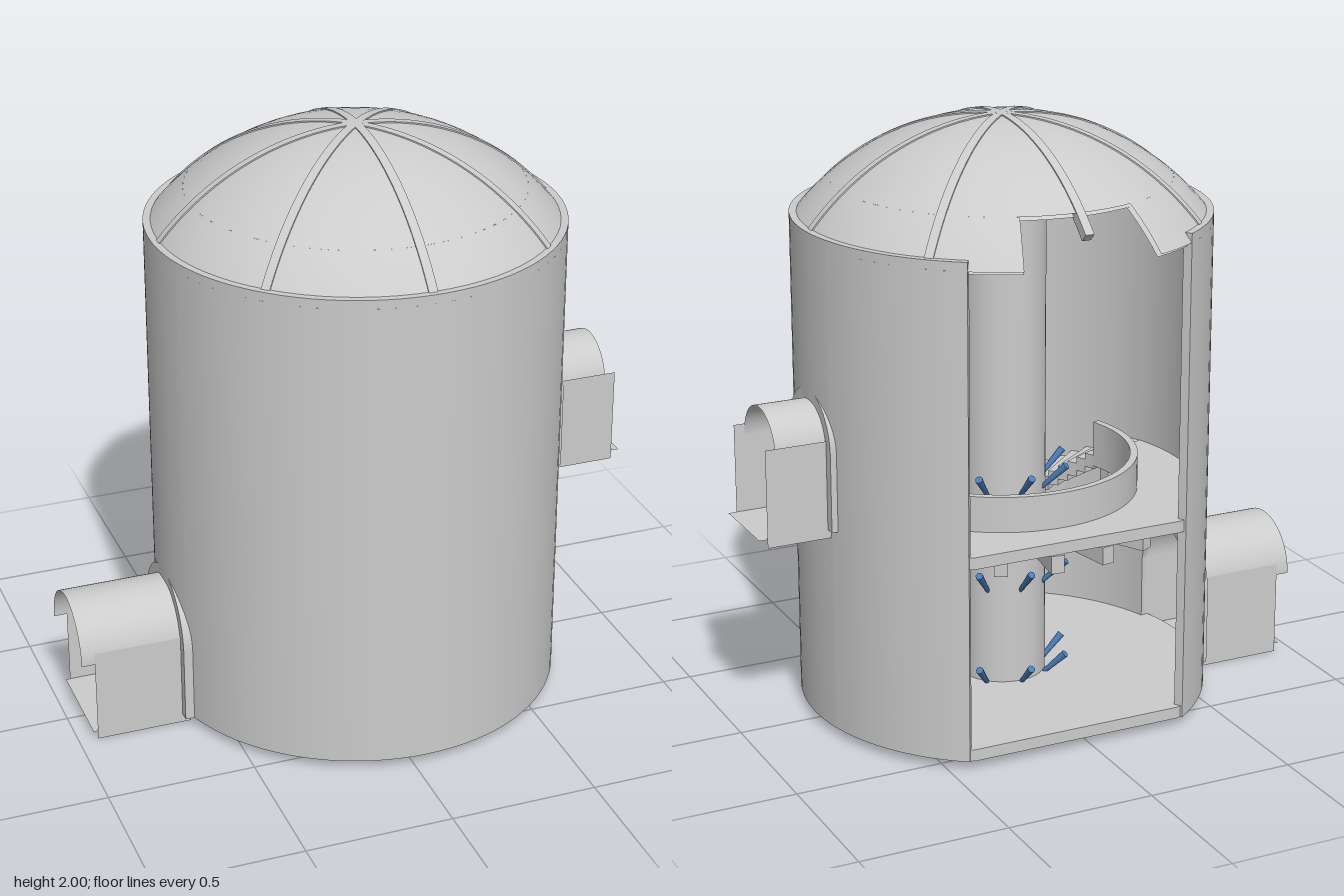
import * as THREE from 'three';
import { toCreasedNormals } from 'three/addons/utils/BufferGeometryUtils.js';

const RAD = Math.PI / 180;
const R = 0.69, RIN = 0.66, BACK = 0.57;   // wall radii, distance to the flat cut at the back
const DOME_R = 0.87, DOME_Y = 1.13;        // dome sphere radius and centre height
const grey = new THREE.MeshStandardMaterial({ color: 0xcccccc });
const sheet = new THREE.MeshStandardMaterial({ color: 0xcccccc, side: THREE.DoubleSide });
const blue = new THREE.MeshStandardMaterial({ color: 0x4a7db8 });

function add(parent, name, geometry, material = grey) {
  const mesh = new THREE.Mesh(geometry, material);
  mesh.name = name;
  parent.add(mesh);
  return mesh;
}

// Solid curved slab between two angles (degrees, 0 = +x, 90 = front).
// Radii and heights are numbers or functions of the angle in radians.
function arcSlab(r0, r1, y0, y1, a0, a1, step = 4) {
  const at = (v, a) => (typeof v === 'function' ? v(a) : v);
  const n = Math.max(1, Math.ceil((a1 - a0) / step));
  const pos = [], idx = [];
  for (let i = 0; i <= n; i++) {
    const a = (a0 + (a1 - a0) * i / n) * RAD;
    const p = [[r0, y0], [r1, y0], [r1, y1], [r0, y1]];
    for (const [r, y] of p) pos.push(at(r, a) * Math.cos(a), at(y, a), at(r, a) * Math.sin(a));
    if (i === n) break;
    for (let k = 0; k < 4; k++) {
      const A = i * 4 + k, B = i * 4 + (k + 1) % 4;
      idx.push(A, B, B + 4, A, B + 4, A + 4);
    }
  }
  const e = n * 4;
  idx.push(0, 2, 1, 0, 3, 2, e, e + 1, e + 2, e, e + 2, e + 3);
  const g = new THREE.BufferGeometry();
  g.setAttribute('position', new THREE.Float32BufferAttribute(pos, 3));
  g.setIndex(idx);
  return toCreasedNormals(g, 30 * RAD);
}

// Radius limited by the flat cut at the back
const clipped = r => a => (Math.sin(a) < 0 ? Math.min(r, BACK / -Math.sin(a)) : r);

// Thin spherical band between two radii, revolved over phi
function domeBand(sphereR, rFrom, rTo, phi0, phiLen) {
  const pts = [];
  for (let i = 0; i <= 12; i++) {
    const t = Math.asin(rTo / DOME_R) * (1 - i / 12) + Math.asin(rFrom / DOME_R) * (i / 12);
    pts.push(new THREE.Vector2(sphereR * Math.sin(t), DOME_Y + sphereR * Math.cos(t)));
  }
  return new THREE.LatheGeometry(pts, 64, phi0 * RAD, phiLen * RAD);
}

// Curved rib lying in the x-y plane
function ribGeometry(endRadius) {
  const end = Math.PI / 2 - Math.asin(endRadius / DOME_R), s = new THREE.Shape();
  s.absarc(0, 0, 0.874, end, Math.PI / 2, false);
  s.absarc(0, 0, 0.84, Math.PI / 2, end, true);
  const g = new THREE.ExtrudeGeometry(s, { depth: 0.03, bevelEnabled: false, curveSegments: 20 });
  return g.translate(0, DOME_Y, -0.015);
}

// Arched frame around a doorway, facing +x
function frameGeometry(r, floor, spring) {
  const s = new THREE.Shape(), o = r + 0.035;
  s.moveTo(o, floor);
  s.lineTo(o, spring);
  s.absarc(0, spring, o, 0, Math.PI, false);
  s.lineTo(-o, floor);
  s.lineTo(-r, floor);
  s.lineTo(-r, spring);
  s.absarc(0, spring, r, Math.PI, 0, true);
  s.lineTo(r, floor);
  const g = new THREE.ExtrudeGeometry(s, { depth: 0.05, bevelEnabled: false, curveSegments: 20 });
  return g.rotateY(Math.PI / 2).translate(0.638, 0, 0);
}

// Vaulted entrance passage running out along +x
function passage(name, d) {
  const g = new THREE.Group(), x0 = 0.66;
  g.name = name;
  const roof = new THREE.CylinderGeometry(d.r, d.r, d.roof - x0, 32, 1, true, 0, Math.PI);
  roof.rotateZ(Math.PI / 2).translate((d.roof + x0) / 2, d.spring, 0);
  add(g, 'vaultedRoof', roof, sheet);
  const h = d.spring + 0.04 - (d.floor - 0.03);
  for (const s of [-1, 1]) {
    const side = new THREE.PlaneGeometry(d.side - x0, h);
    add(g, 'sideWall', side.translate((d.side + x0) / 2, d.floor - 0.03 + h / 2, s * d.r), sheet);
  }
  const floor = new THREE.PlaneGeometry(d.end - x0, 2 * d.r).rotateX(-Math.PI / 2);
  add(g, 'passageFloor', floor.translate((d.end + x0) / 2, d.floor, 0), sheet);
  add(g, 'doorFrame', frameGeometry(d.r, d.floor, d.spring));
  return g;
}

export function createModel() {
  const model = new THREE.Group();
  model.name = 'roundTower';
  const tower = new THREE.Group();
  tower.name = 'tower';
  tower.position.set(0.05, 0, -0.02);
  model.add(tower);

  const high = { r: 0.14, spring: 0.99, floor: 0.73, roof: 0.86, side: 0.895, end: 0.923 };
  const low = { r: 0.175, spring: 0.29, floor: 0.03, roof: 1.03, side: 0.985, end: 1.0 };

  // Outer wall, open at the back, with two arched doorways
  const cut = Math.asin(BACK / R) / RAD;
  const half = d => Math.asin(d.r / 0.675) / RAD;
  const arch = d => a => d.spring + Math.sqrt(Math.max(0, d.r ** 2 - (0.675 * Math.sin(a)) ** 2));
  const hi = half(high), lo = half(low), top = 1.69;
  const wall = (y0, y1, a0, a1, step) => add(tower, 'outerWall', arcSlab(RIN, R, y0, y1, a0, a1, step));
  wall(0.03, top, -cut, -hi);
  wall(0.03, high.floor, -hi, hi);
  wall(arch(high), top, -hi, hi, 1);
  wall(0.03, top, hi, 180 - lo);
  wall(arch(low), top, 180 - lo, 180 + lo, 1);
  wall(0.03, top, 180 + lo, 180 + cut);

  // Ground slab, sill and entrance passages
  add(tower, 'groundFloor', arcSlab(0, clipped(0.688), 0.03, 0.07, 0, 360, 3));
  add(tower, 'doorSill', new THREE.BoxGeometry(0.04, 0.105, 0.28)).position.set(0.67, 0.782, 0);
  tower.add(passage('upperPassage', high));
  const lower = passage('lowerPassage', low);
  lower.rotation.y = Math.PI;
  tower.add(lower);

  // Gallery floor with parapet, leaving the stairwell open
  add(tower, 'galleryFloor', arcSlab(0.43, clipped(0.688), 0.69, 0.73, 163, 380, 3));
  add(tower, 'galleryParapet', arcSlab(0.43, 0.455, 0.73, 0.85, 163, 380, 3));
  add(tower, 'stairheadRail', arcSlab(0.43, 0.67, 0.73, 0.85, 377.5, 380));
  for (let a = 170; a < 380; a += 18) {
    const bracket = add(tower, 'galleryBracket', new THREE.BoxGeometry(0.15, 0.06, 0.045));
    bracket.position.set(0.51 * Math.cos(a * RAD), 0.66, 0.51 * Math.sin(a * RAD));
    bracket.rotation.y = -a * RAD;
  }

  // Stairs climbing along the inside of the front wall
  const stairs = new THREE.Group();
  stairs.name = 'stairs';
  tower.add(stairs);
  for (let i = 0; i < 29; i++) {
    const y = 0.07 + i * 0.0235, a = 18 + i * 5;
    add(stairs, 'step', arcSlab(0.43, 0.689, Math.max(0.035, y - 0.05), y, a, a + 5));
  }

  // Central column with rings of slanted torches
  add(tower, 'centralColumn', new THREE.CylinderGeometry(0.147, 0.147, 1.87, 48)).position.y = 1.0;
  for (const y of [0.1, 0.44, 0.78]) {
    for (let i = 0; i < 8; i++) {
      const a = i * 45 * RAD, pivot = new THREE.Group();
      pivot.name = 'torch';
      pivot.rotation.y = -a;
      const torch = add(pivot, 'torchShaft', new THREE.CylinderGeometry(0.013, 0.007, 0.12, 8), blue);
      torch.position.set(0.185, y, 0);
      torch.rotation.z = -Math.PI / 4;
      tower.add(pivot);
    }
  }

  // Domed roof: full cap above, notched skirt below
  for (const r of [DOME_R, DOME_R - 0.02]) {
    add(tower, 'domeCap', domeBand(r, 0, 0.558, 0, 360), sheet);
    add(tower, 'domeSkirt', domeBand(r, 0.558, 0.69, 200, 320), sheet);
  }
  for (let i = 0; i < 8; i++) {
    const rib = add(tower, 'domeRib', ribGeometry(i === 2 ? 0.62 : 0.68));
    rib.rotation.y = i * Math.PI / 4;
  }
  return model;
}
